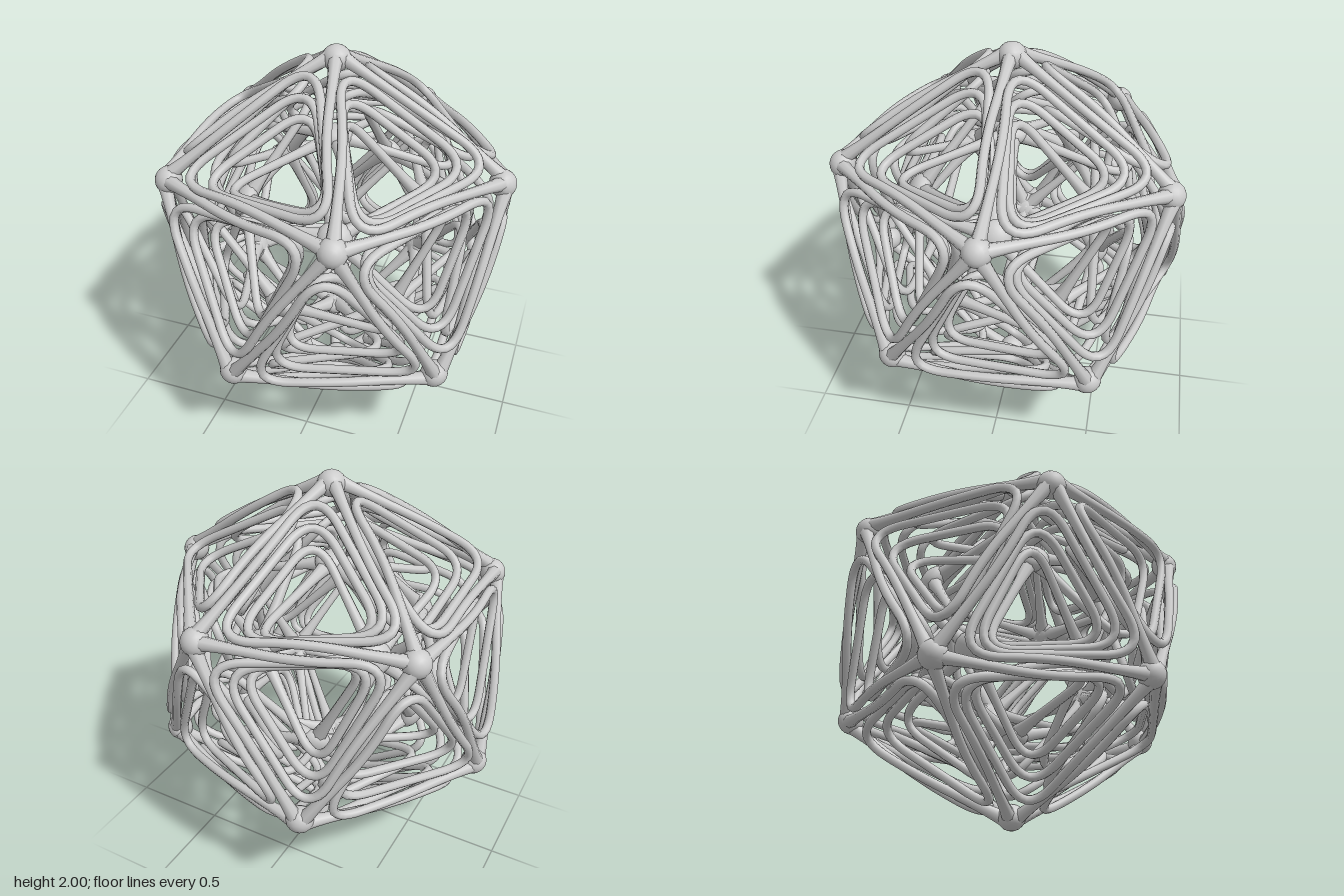
import * as THREE from 'three';

const material = new THREE.MeshStandardMaterial({ color: 0xcccccc });
const OUTER = 0.958, INNER = 0.53;

// Unit icosahedron corners: two poles and two staggered rings of five
function icosahedronCorners() {
  const corners = [new THREE.Vector3(0, 1, 0), new THREE.Vector3(0, -1, 0)];
  const r = 2 / Math.sqrt(5), h = 1 / Math.sqrt(5);
  for (let i = 0; i < 5; i++) {
    const a = i * Math.PI * 2 / 5, b = a + Math.PI / 5;
    corners.push(new THREE.Vector3(r * Math.cos(a), h, r * Math.sin(a)));
    corners.push(new THREE.Vector3(r * Math.cos(b), -h, r * Math.sin(b)));
  }
  return corners;
}

// All twenty faces, corners listed clockwise as seen from outside
function icosahedronFaces(c) {
  const faces = [];
  const near = (a, b) => a.distanceTo(b) < 1.1;
  for (let i = 0; i < 12; i++) for (let j = i + 1; j < 12; j++) for (let k = j + 1; k < 12; k++) {
    if (!near(c[i], c[j]) || !near(c[j], c[k]) || !near(c[i], c[k])) continue;
    const turn = c[i].clone().cross(c[j]).dot(c[k]);
    faces.push(turn < 0 ? [c[i], c[j], c[k]] : [c[i], c[k], c[j]]);
  }
  return faces;
}

// Straight runs joined by rounded bends; each bend starts and ends a set length from its corner
function roundedPath(points, bends) {
  const path = new THREE.CurvePath();
  const towards = (a, b, length) => a.clone().lerp(b, length / a.distanceTo(b));
  let from = points[0];
  for (let i = 1; i < points.length - 1; i++) {
    const enter = towards(points[i], points[i - 1], bends[i - 1]);
    const leave = towards(points[i], points[i + 1], bends[i - 1]);
    path.add(new THREE.LineCurve3(from, enter));
    path.add(new THREE.QuadraticBezierCurve3(enter, points[i], leave));
    from = leave;
  }
  path.add(new THREE.LineCurve3(from, points[points.length - 1]));
  return path;
}

// Tube whose thickness flares at both ends
function taperedTube(path, segments, sides) {
  const geometry = new THREE.TubeGeometry(path, segments, 1, sides, false);
  const pos = geometry.attributes.position;
  const length = path.getLength();
  const v = new THREE.Vector3();
  for (let i = 0; i <= segments; i++) {
    const t = i / segments, centre = path.getPointAt(t);
    const radius = 0.0225 + 0.022 * Math.exp(-t * length / 0.11)
      + 0.035 * Math.exp(-(1 - t) * length / 0.09);
    for (let j = 0; j <= sides; j++) {
      const n = i * (sides + 1) + j;
      v.fromBufferAttribute(pos, n).sub(centre).multiplyScalar(radius).add(centre);
      pos.setXYZ(n, v.x, v.y, v.z);
    }
  }
  return geometry;
}

// Strand from an outer corner, over the edge and winding inward to an inner corner
function strandGeometry(face, start) {
  const axis = face[0].clone().add(face[1]).add(face[2]).normalize();
  const first = face[start], second = face[(start + 1) % 3];
  const at = (k, rho, depth, lag) => {
    const corner = face[(start + k) % 3];
    const out = corner.clone().addScaledVector(axis, -corner.dot(axis)).normalize();
    return out.applyAxisAngle(axis, lag).multiplyScalar(rho).addScaledVector(axis, depth);
  };
  const crest = first.clone().lerp(second, 0.5)
    .lerp(axis.clone().multiplyScalar(0.795), 0.14).multiplyScalar(1.03);
  const points = [
    first.clone().multiplyScalar(OUTER),
    crest,
    at(1, 0.51, 0.80, 0.10),
    at(2, 0.43, 0.73, 0.14),
    at(3, 0.36, 0.64, 0.16),
    second.clone().multiplyScalar(INNER),
  ];
  return taperedTube(roundedPath(points, [0.17, 0.22, 0.22, 0.2]), 84, 8);
}

export function createModel() {
  const model = new THREE.Group();
  model.name = 'wovenIcosahedron';
  const body = new THREE.Group();
  body.name = 'lattice';
  body.position.y = 1;
  model.add(body);

  const corners = icosahedronCorners();

  // Three interleaved strands on every face
  for (const face of icosahedronFaces(corners)) {
    const whirl = new THREE.Group();
    whirl.name = 'faceWhirl';
    for (let s = 0; s < 3; s++) {
      const strand = new THREE.Mesh(strandGeometry(face, s), material);
      strand.name = 'strand';
      whirl.add(strand);
    }
    body.add(whirl);
  }

  // Star hubs where five strands meet, outside and inside
  const up = new THREE.Vector3(0, 1, 0);
  const hub = (name, corner, distance, width, height) => {
    const mesh = new THREE.Mesh(new THREE.SphereGeometry(1, 16, 10), material);
    mesh.name = name;
    mesh.scale.set(width, height, width);
    mesh.quaternion.setFromUnitVectors(up, corner);
    mesh.position.copy(corner).multiplyScalar(distance);
    body.add(mesh);
  };
  for (const corner of corners) {
    hub('outerHub', corner, 0.935, 0.07, 0.065);
    hub('innerHub', corner, INNER, 0.085, 0.055);
  }
  return model;
}
